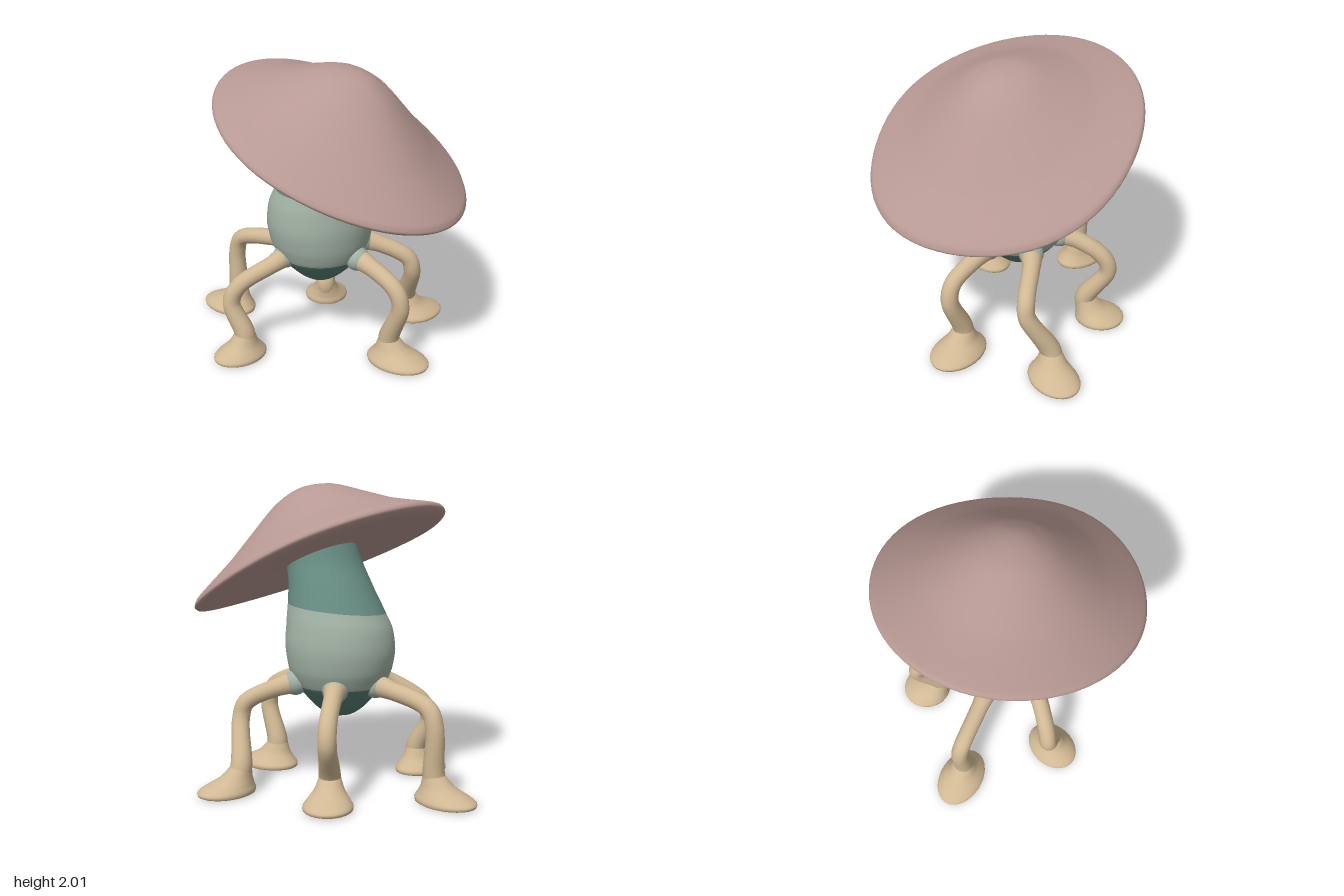
import * as THREE from 'three';

const { lerp, smoothstep } = THREE.MathUtils;

const material = (name, color) => {
  const m = new THREE.MeshStandardMaterial({ color });
  m.name = name;
  return m;
};

// Smooth surface through elliptical rings [y, centreX, centreZ, radiusX, radiusZ], bottom to top.
// warp: final height of a point; bulge: radius factor by angle;
// breaks: ring indices at which the next material group starts.
function loft(rings, { sides = 48, steps = 4, warp = (x, y) => y, bulge = () => 1, breaks = [] } = {}) {
  const centres = new THREE.CatmullRomCurve3(rings.map(r => new THREE.Vector3(r[1], r[0], r[2])));
  const radii = new THREE.CatmullRomCurve3(rings.map(r => new THREE.Vector3(r[3], 0, r[4])));
  const rows = (rings.length - 1) * steps;
  const pos = [], idx = [];
  for (let i = 0; i <= rows; i++) {
    const c = centres.getPoint(i / rows), r = radii.getPoint(i / rows);
    for (let j = 0; j < sides; j++) {
      const a = (j / sides) * Math.PI * 2, f = bulge(a);
      const x = c.x + Math.cos(a) * Math.max(r.x, 0.001) * f;
      const z = c.z + Math.sin(a) * Math.max(r.z, 0.001) * f;
      pos.push(x, warp(x, c.y, z), z);
      if (i === rows) continue;
      const p = i * sides + j, q = i * sides + ((j + 1) % sides);
      idx.push(p, p + sides, q, q, p + sides, q + sides);
    }
  }
  const g = new THREE.BufferGeometry();
  g.setAttribute('position', new THREE.Float32BufferAttribute(pos, 3));
  g.setIndex(idx);
  g.computeVertexNormals();
  const cuts = [0, ...breaks.map(b => b * steps), rows];
  if (breaks.length) {
    for (let k = 0; k < cuts.length - 1; k++) {
      g.addGroup(cuts[k] * sides * 6, (cuts[k + 1] - cuts[k]) * sides * 6, k);
    }
  }
  return g;
}

// Bent tube whose radius changes along its length
function limb(points, radii) {
  const curve = new THREE.CatmullRomCurve3(points.map(p => new THREE.Vector3(...p)));
  const along = 36, around = 16;
  const g = new THREE.TubeGeometry(curve, along, 1, around);
  const p = g.attributes.position, v = new THREE.Vector3();
  for (let i = 0; i <= along; i++) {
    const c = curve.getPointAt(i / along);
    const t = (i / along) * (radii.length - 1), k = Math.min(Math.floor(t), radii.length - 2);
    const r = lerp(radii[k], radii[k + 1], t - k);
    for (let j = 0; j <= around; j++) {
      const n = i * (around + 1) + j;
      v.fromBufferAttribute(p, n).sub(c).multiplyScalar(r).add(c);
      p.setXYZ(n, v.x, v.y, v.z);
    }
  }
  return g;
}

export function createModel() {
  const pink = material('dusty pink', 0xb89993);
  const teal = material('teal', 0x688f85);
  const deepTeal = material('deep teal', 0x567c73);
  const sage = material('sage', 0xa2b2a5);
  const tan = material('tan', 0xd0b893);

  const model = new THREE.Group();
  model.name = 'walkingMushroom';
  const add = (parent, name, geometry, mat) => {
    const mesh = new THREE.Mesh(geometry, mat);
    mesh.name = name;
    parent.add(mesh);
    return mesh;
  };

  // Cap: profile of [fraction of rim radius, height], from under the centre round to the peak
  const capProfile = [
    [0, 0.02], [0.5, 0], [0.9, -0.03], [0.97, -0.022], [1, 0.006], [0.985, 0.036], [0.93, 0.065],
    [0.8, 0.125], [0.67, 0.19], [0.5, 0.295], [0.25, 0.45], [0.1, 0.503], [0.03, 0.513], [0, 0.514],
  ];
  const capRings = capProfile.map(([t, h]) =>
    [h, 0.11 + 0.15 * (1 - t), 0.06 * (1 - t), 0.825 * t, 0.865 * t]);
  add(model, 'cap', loft(capRings, {
    sides: 72,
    bulge: a => 1 + Math.sin(2 * a) ** 2 * (0.018 + 0.01 * Math.cos(a) + 0.008 * Math.sin(a)),
    // tilted rim, drooping at the sides and a little more at the back left
    warp: (x, y, z) => 1.525 + y - 0.39 * (x - 0.11) - 0.195 * z
      - 0.05 * x * x + 0.09 * z * Math.max(0, x) ** 2,
  }), pink);

  // Body: dark base, pale belly, teal neck leaning into the cap
  add(model, 'body', loft([
    [0.48, -0.035, -0.08, 0.001, 0.001],
    [0.487, -0.035, -0.08, 0.08, 0.08],
    [0.53, -0.035, -0.08, 0.15, 0.145],
    [0.6, -0.035, -0.075, 0.22, 0.215],
    [0.69, -0.035, -0.075, 0.298, 0.288],
    [0.8, -0.035, -0.08, 0.345, 0.332],
    [0.95, -0.035, -0.08, 0.366, 0.35],
    [1.1, -0.03, -0.075, 0.352, 0.335],
    [1.2, -0.01, -0.065, 0.325, 0.308],
    [1.35, 0.03, -0.04, 0.285, 0.28],
    [1.5, 0.08, 0, 0.26, 0.26],
    [1.65, 0.13, 0.02, 0.25, 0.25],
  ], {
    breaks: [4, 8],
    warp: (x, y) => y + 0.1 * x * smoothstep(y, 0.69, 1.2),
  }), [deepTeal, sage, teal]);

  // Legs: path from hip to ankle, foot centre [x, z], toe direction [x, z], foot half length and half width
  const legs = [
    { name: 'frontLeftLeg', path: [[0.2, 0.72, 0.08], [0.3, 0.69, 0.15], [0.48, 0.585, 0.29], [0.52, 0.46, 0.31], [0.45, 0.18, 0.24]],
      foot: [0.515, 0.265], toe: [0.85, 0.5], size: [0.225, 0.165] },
    { name: 'backLeftLeg', path: [[0.22, 0.72, -0.19], [0.34, 0.69, -0.21], [0.58, 0.575, -0.21], [0.615, 0.47, -0.22], [0.585, 0.18, -0.38]],
      foot: [0.675, -0.415], toe: [0.7, -0.7], size: [0.205, 0.155] },
    { name: 'backLeg', path: [[-0.03, 0.7, -0.32], [-0.03, 0.68, -0.44], [-0.02, 0.55, -0.66], [-0.02, 0.43, -0.7], [-0.02, 0.18, -0.55]],
      foot: [-0.02, -0.66], toe: [0, -1], size: [0.175, 0.16] },
    { name: 'frontRightLeg', path: [[-0.24, 0.72, 0.05], [-0.34, 0.675, 0.13], [-0.57, 0.53, 0.18], [-0.63, 0.4, 0.19], [-0.54, 0.18, 0.23]],
      foot: [-0.575, 0.24], toe: [-0.75, 0.65], size: [0.195, 0.15] },
    { name: 'backRightLeg', path: [[-0.25, 0.71, -0.18], [-0.37, 0.69, -0.25], [-0.63, 0.605, -0.41], [-0.67, 0.49, -0.44], [-0.67, 0.18, -0.43]],
      foot: [-0.745, -0.46], toe: [-0.8, -0.6], size: [0.22, 0.155] },
  ];

  const up = new THREE.Vector3(0, 1, 0);
  for (const { name, path, foot, toe, size } of legs) {
    const leg = new THREE.Group();
    leg.name = name;
    model.add(leg);
    // The shank runs on into the foot so that the two close without a gap
    const [ax, , az] = path[path.length - 1];
    const inFoot = [lerp(ax, foot[0], 0.3), 0.07, lerp(az, foot[1], 0.3)];
    add(leg, 'shank', limb([...path, inFoot], [0.08, 0.06, 0.058, 0.059, 0.062, 0.07, 0.078]), tan);

    // Foot: flat sole rising into the ankle, long axis along the toe direction
    const angle = Math.atan2(-toe[1], toe[0]);
    const ankle = new THREE.Vector3(ax - foot[0], 0, az - foot[1]).applyAxisAngle(up, -angle);
    const ring = (y, toAnkle, s) =>
      [y, ankle.x * toAnkle, ankle.z * toAnkle, lerp(0.068, size[0], s), lerp(0.068, size[1], s)];
    const footMesh = add(leg, 'foot', loft([
      [0.005, 0, 0, 0.001, 0.001],
      ring(0.006, 0, 0.8), ring(0.014, 0, 0.97), ring(0.032, 0, 1),
      ring(0.065, 0.2, 0.76), ring(0.115, 0.65, 0.32), ring(0.19, 1, 0),
    ], { sides: 28, steps: 3 }), tan);
    footMesh.position.set(foot[0], 0, foot[1]);
    footMesh.rotation.y = angle;

    // Rounded hip where the leg leaves the body
    const hip = add(leg, 'hip', new THREE.SphereGeometry(0.084, 20, 14), sage);
    hip.position.set(...path[0]).lerp(new THREE.Vector3(...path[1]), 0.25);
  }

  return model;
}
